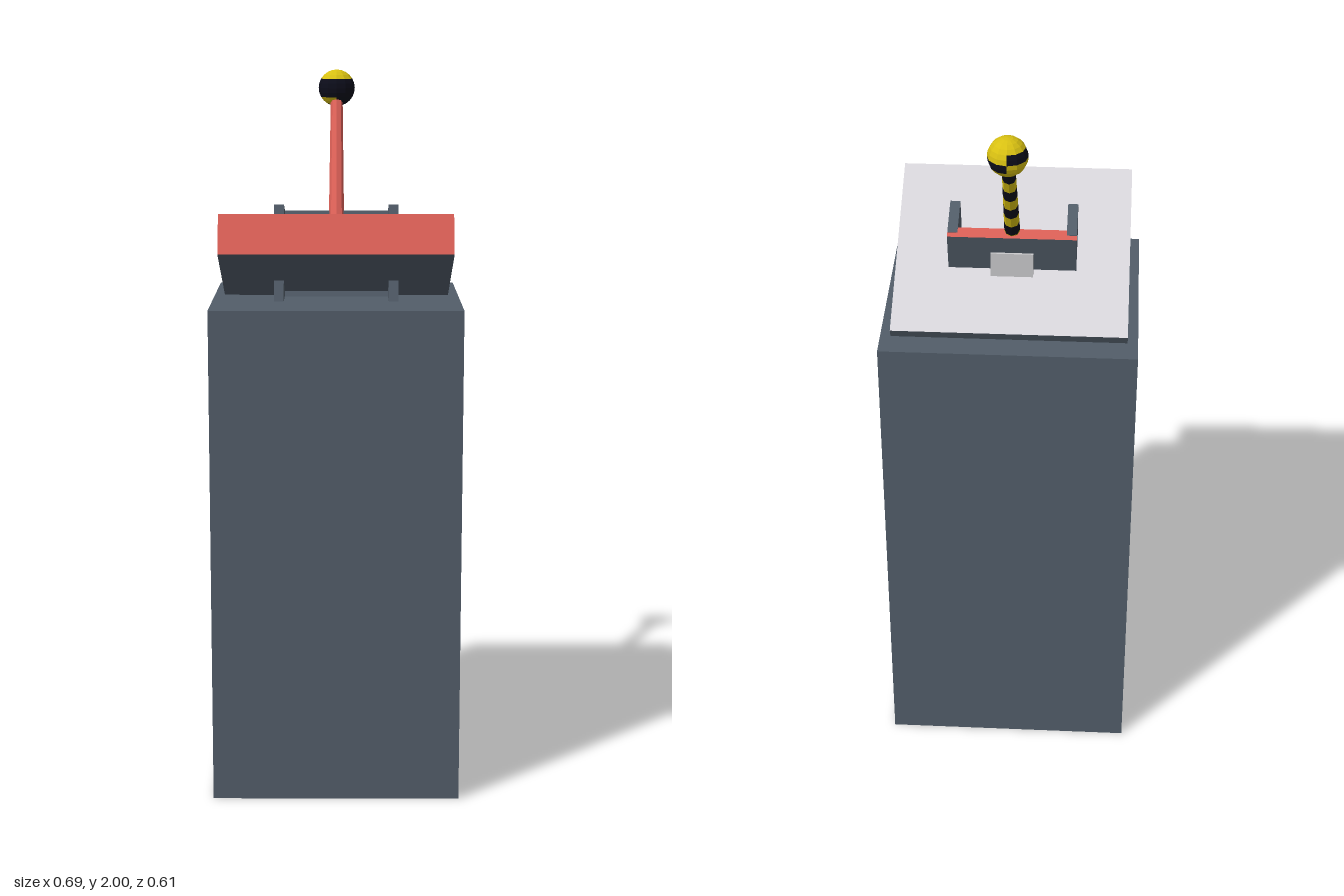
import * as THREE from 'three';

const mat = (name, color, side = THREE.FrontSide) =>
  new THREE.MeshStandardMaterial({ name, color, flatShading: true, side });

export function createModel() {
  const steel = mat('slate grey', 0x525d69);
  const red = mat('red', 0xda5f56, THREE.DoubleSide);
  const light = mat('pale grey', 0xd7d5da);
  const silver = mat('silver', 0xc8c8ca);
  const yellow = mat('yellow', 0xd8c012, THREE.DoubleSide);
  const black = mat('black', 0x0c0d1a, THREE.DoubleSide);

  const model = new THREE.Group();
  model.name = 'leverConsole';

  function add(parent, name, geometry, material) {
    const mesh = new THREE.Mesh(geometry, material);
    mesh.name = name;
    parent.add(mesh);
    return mesh;
  }
  // Box given by its minimum and maximum corners
  function box(parent, name, [x0, y0, z0], [x1, y1, z1], material) {
    const g = new THREE.BoxGeometry(x1 - x0, y1 - y0, z1 - z0);
    g.translate((x0 + x1) / 2, (y0 + y1) / 2, (z0 + z1) / 2);
    return add(parent, name, g, material);
  }
  // Group leaning back by a number of degrees
  function leaning(name, y, z, degrees) {
    const g = new THREE.Group();
    g.name = name;
    g.position.set(0, y, z);
    g.rotation.x = -THREE.MathUtils.degToRad(degrees);
    model.add(g);
    return g;
  }

  // Pedestal
  box(model, 'pedestal', [-0.343, 0, -0.297], [0.343, 1.378, 0.305], steel);

  // Sloping panel: pale top, red front edge (origin at its upper front edge)
  const panel = leaning('panel', 1.632, 0.256, 25);
  box(panel, 'panelSlab', [-0.315, -0.114, -0.542], [0.315, 0, 0],
    [steel, steel, light, steel, red, steel]);

  // U-shaped lever guard passing through the panel
  const guard = leaning('leverGuard', 1.639, 0.047, 15);
  box(guard, 'guardBack', [-0.172, -0.4, -0.132], [0.172, -0.001, -0.097],
    [steel, steel, red, steel, steel, steel]);
  for (const s of [-1, 1]) {
    const arm = box(guard, s > 0 ? 'guardArmLeft' : 'guardArmRight',
      [-0.0135, -0.4, -0.116], [0.0135, 0, 0], steel);
    arm.position.x = s * 0.1585;
  }

  // Lever mount
  box(model, 'leverMount', [-0.057, 1.47, -0.072], [0.057, 1.55, 0.02], silver);

  // Lever: red front half, hazard-striped back half
  const lever = leaning('lever', 1.55, -0.015, 30.7);
  const low = -0.01, high = 0.44;
  const radius = (y) => 0.022 - 0.005 * (y - low) / (high - low);
  function halfRod(name, y0, y1, start, material) {
    const g = new THREE.CylinderGeometry(radius(y1), radius(y0), y1 - y0, 4, 1, true, start, Math.PI);
    g.translate(0, (y0 + y1) / 2, 0);
    add(lever, name, g, material);
  }
  halfRod('rodFront', low, high, -Math.PI / 2, red);
  const stripes = 10, step = (high - low) / stripes;
  for (let i = 0; i < stripes; i++) {
    halfRod('rodStripe', low + i * step, low + (i + 1) * step, Math.PI / 2, i % 2 ? yellow : black);
  }

  // Knob: faceted ball with blotchy hazard bands, split into rows and quarters
  const knob = new THREE.Group();
  knob.name = 'knob';
  knob.position.set(0, 1.948, -0.253);
  model.add(knob);
  const rows = 6, rowAngle = Math.PI / rows;
  // Quarters start at right-front, then left-front, left-back, right-back
  const bands = ['yyyy', 'yyyy', 'bbyb', 'bbby', 'ybyy', 'bbyb'];
  bands.forEach((band, r) => {
    [...band].forEach((c, q) => {
      const g = new THREE.SphereGeometry(0.052, 2, 1, q * Math.PI / 2, Math.PI / 2,
        r * rowAngle, rowAngle);
      add(knob, 'knobPatch', g, c === 'y' ? yellow : black);
    });
  });

  return model;
}
